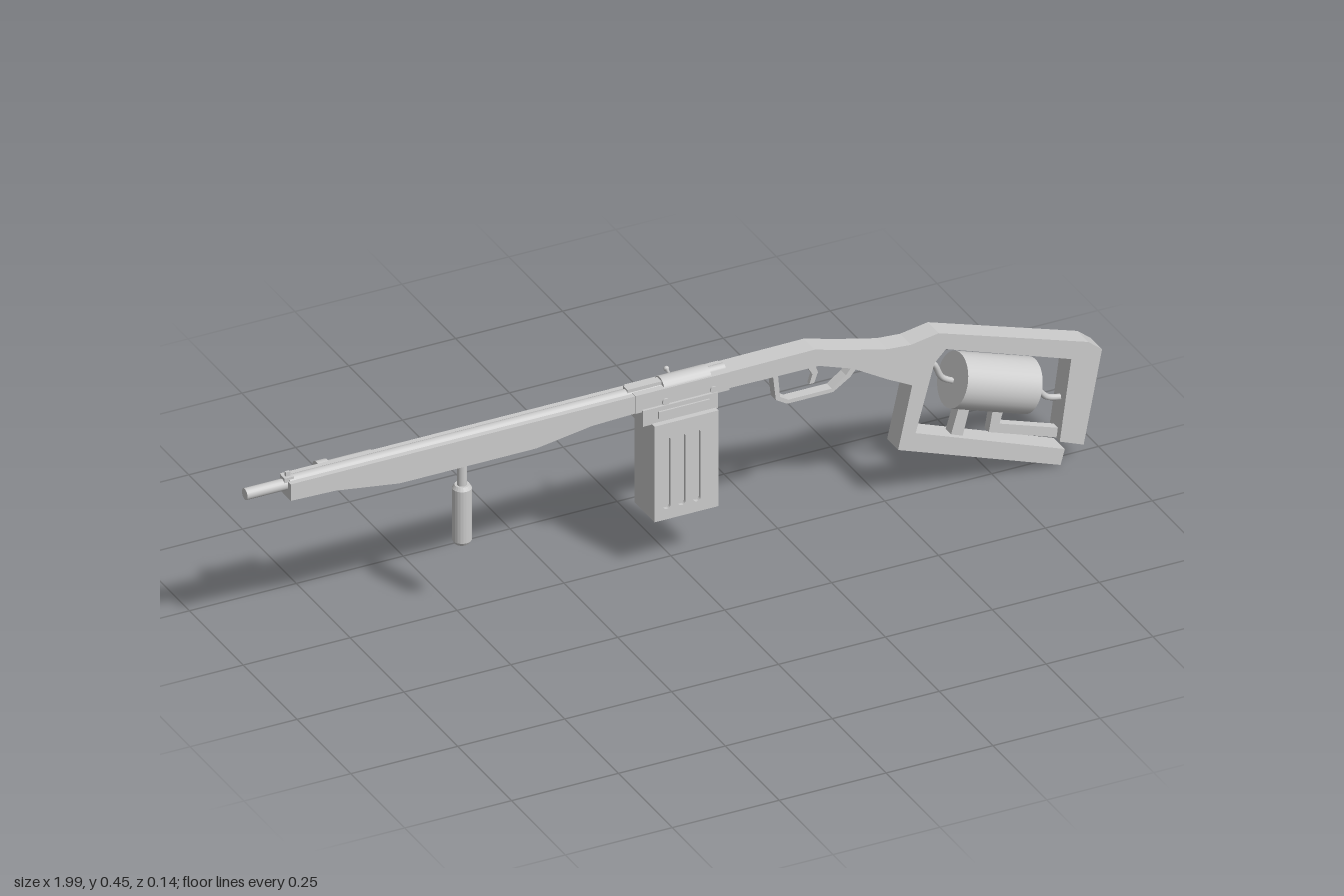
import * as THREE from 'three';

const Z = 0.007; // middle plane of the whole body
const flat = new THREE.MeshStandardMaterial({ color: 0xcccccc, flatShading: true });
const smooth = new THREE.MeshStandardMaterial({ color: 0xcccccc });

export function createModel() {
  const root = new THREE.Group();

  const add = (name, geo, mat = flat) => {
    const m = new THREE.Mesh(geo, mat);
    m.name = name;
    root.add(m);
    return m;
  };
  const box = (name, x0, x1, y0, y1, z0, z1) =>
    add(name, new THREE.BoxGeometry(x1 - x0, y1 - y0, z1 - z0))
      .position.set((x0 + x1) / 2, (y0 + y1) / 2, (z0 + z1) / 2);
  // cylinder between two points
  const rod = (name, a, b, r, r2 = r, sides = 20) => {
    const p = new THREE.Vector3(...a), q = new THREE.Vector3(...b), d = q.clone().sub(p);
    const m = add(name, new THREE.CylinderGeometry(r2, r, d.length(), sides), smooth);
    m.position.copy(p).add(q).multiplyScalar(0.5);
    m.quaternion.setFromUnitVectors(new THREE.Vector3(0, 1, 0), d.normalize());
    return m;
  };
  // side outline extruded across z, centred on the middle plane
  const slab = (name, pts, width, holes = [], z = Z) => {
    const s = new THREE.Shape(pts.map(p => new THREE.Vector2(...p)));
    holes.forEach(h => s.holes.push(h));
    const g = new THREE.ExtrudeGeometry(s, { depth: width, bevelEnabled: false, curveSegments: 6 });
    g.translate(0, 0, z - width / 2);
    return add(name, g);
  };
  const tube = (name, pts, r) => add(name, new THREE.TubeGeometry(
    new THREE.CatmullRomCurve3(pts.map(p => new THREE.Vector3(p[0], p[1], Z))), 20, r, 8), smooth);

  // Skeleton stock: wrist, top bar, butt and lower bar, open at the rear corner
  slab('stock', [
    [0.05, 0.43], [0.32, 0.432], [0.40, 0.41], [0.49, 0.388], [0.545, 0.384], [0.61, 0.395],
    [0.96, 0.281], [0.992, 0.255], [0.949, 0.035], [0.893, 0.057], [0.92, 0.25],
    [0.627, 0.352], [0.60, 0.325], [0.556, 0.167], [0.905, 0.036], [0.895, 0],
    [0.515, 0.137], [0.548, 0.285], [0.49, 0.315], [0.41, 0.362], [0.33, 0.39], [0.05, 0.392],
  ], 0.051);

  // Fore-end with a belly
  slab('foreEnd', [
    [-0.905, 0.39], [-0.905, 0.415], [-0.08, 0.42], [-0.08, 0.389], [-0.2, 0.385],
    [-0.33, 0.365], [-0.65, 0.365], [-0.8, 0.387],
  ], 0.051);
  for (const s of [-1, 1]) {
    const a = Z + s * 0.013, b = Z + s * 0.0255;
    box('foreEndRail', -0.905, -0.1, 0.412, 0.43, Math.min(a, b), Math.max(a, b));
  }

  // Barrel and sights
  rod('barrel', [-0.9, 0.421, Z], [0, 0.421, Z], 0.015);
  rod('muzzle', [-1, 0.418, Z], [-0.88, 0.418, Z], 0.013);
  box('frontSightBase', -0.912, -0.89, 0.425, 0.437, Z - 0.01, Z + 0.01);
  box('frontSight', -0.905, -0.895, 0.435, 0.447, Z - 0.003, Z + 0.003);
  box('rearSight', -0.11, -0.03, 0.43, 0.44, Z - 0.01, Z + 0.01);

  // Receiver, cover and magazine well
  box('receiver', -0.1, 0.12, 0.388, 0.431, Z - 0.027, Z + 0.027);
  box('magazineWell', -0.085, 0.09, 0.356, 0.394, Z - 0.033, Z + 0.033);
  rod('receiverCover', [-0.03, 0.42, Z], [0.08, 0.42, Z], 0.025);
  rod('boltEnd', [0.08, 0.428, Z], [0.12, 0.428, Z], 0.011);
  for (const s of [-1, 1]) {
    for (const x of [-0.03, 0.082])
      rod('receiverPin', [x, 0.4, Z], [x, 0.4, Z + s * 0.031], 0.008);
    box('sidePlate', -0.05, 0.07, 0.368, 0.384, Z + s * 0.034 - 0.003, Z + s * 0.034 + 0.003);
  }
  rod('boltHandle', [0.005, 0.427, -0.01], [0.012, 0.427, -0.044], 0.0035, 0.0035, 10);
  add('boltKnob', new THREE.SphereGeometry(0.006, 12, 8), smooth).position.set(0.012, 0.427, -0.045);

  // Box magazine with three grooves on both broad faces
  box('magazineCore', -0.065, 0.085, 0.126, 0.358, Z - 0.038, Z + 0.038);
  const grooves = () => [-0.036, -0.001, 0.034].map(x => {
    const h = new THREE.Path(), r = 0.009;
    h.absarc(x, 0.315, r, 0, Math.PI);
    h.absarc(x, 0.16, r, Math.PI, Math.PI * 2);
    h.closePath();
    return h;
  });
  for (const s of [-1, 1])
    slab('magazineFace', [[-0.065, 0.126], [0.085, 0.126], [0.085, 0.358], [-0.065, 0.358]],
      0.0085, grooves(), Z + s * 0.0418);

  // Trigger and guard
  slab('triggerGuard', [
    [0.228, 0.395], [0.236, 0.325], [0.262, 0.309], [0.37, 0.309], [0.41, 0.335], [0.43, 0.358],
    [0.415, 0.36], [0.4, 0.342], [0.367, 0.318], [0.265, 0.318], [0.246, 0.33], [0.24, 0.395],
  ], 0.024);
  slab('trigger', [[0.305, 0.395], [0.325, 0.36], [0.318, 0.338], [0.329, 0.338], [0.338, 0.362], [0.327, 0.395]], 0.01);

  // Vertical foregrip
  rod('foregripStem', [-0.492, 0.37, Z], [-0.492, 0.3, Z], 0.011);
  const grip = [[0, 0.168], [0.017, 0.168], [0.021, 0.175], [0.021, 0.3], [0.016, 0.308], [0, 0.308]];
  add('foregrip', new THREE.LatheGeometry(grip.map(p => new THREE.Vector2(...p)), 20))
    .position.set(-0.492, 0, Z);

  // Side lamp on a small mount
  rod('lampBody', [-0.785, 0.396, -0.047], [-0.676, 0.396, -0.047], 0.015);
  rod('lampHead', [-0.805, 0.396, -0.047], [-0.78, 0.396, -0.047], 0.02, 0.02);
  box('lampMount', -0.755, -0.71, 0.39, 0.402, -0.04, -0.015);

  // Canister held inside the stock by pipes and brackets
  const c = [0.742, 0.228], t = -0.33, L = 0.092;
  const dx = Math.cos(t) * L, dy = Math.sin(t) * L;
  rod('canister', [c[0] - dx, c[1] - dy, Z + 0.001], [c[0] + dx, c[1] + dy, Z + 0.001], 0.061, 0.061, 32);
  tube('frontPipe', [[0.585, 0.325], [0.612, 0.305], [0.63, 0.27], [0.665, 0.25]], 0.007);
  tube('rearPipe', [[0.82, 0.2], [0.85, 0.185], [0.875, 0.158], [0.915, 0.147]], 0.007);
  slab('canisterStrut', [[0.665, 0.2], [0.69, 0.19], [0.668, 0.105], [0.64, 0.115]], 0.025);
  slab('canisterBracket', [
    [0.745, 0.17], [0.77, 0.16], [0.76, 0.128], [0.91, 0.077], [0.905, 0.055], [0.735, 0.114],
  ], 0.02);

  return root;
}
